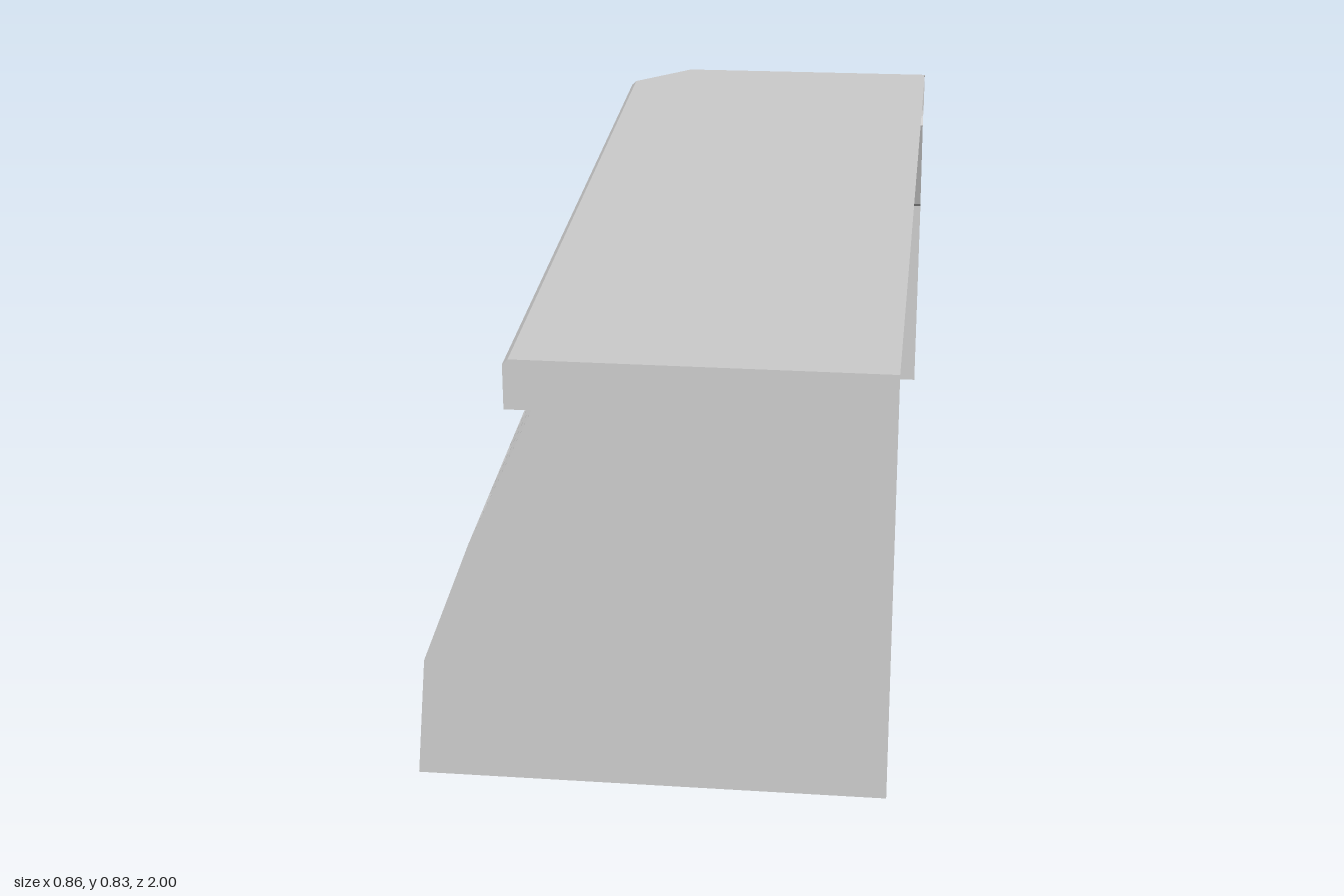
import * as THREE from 'three';

const V = (x, y, z) => new THREE.Vector3(x, y, z);
const mat = new THREE.MeshStandardMaterial({ color: 0xcccccc, side: THREE.DoubleSide });

// Flat-shaded sheet from quads, each [bottomLeft, bottomRight, topRight, topLeft] seen from outside
function sheet(name, quads) {
  const pts = quads.flatMap(([a, b, c, d]) => [a, b, c, a, c, d]);
  const geo = new THREE.BufferGeometry().setFromPoints(pts);
  geo.computeVertexNormals();
  const mesh = new THREE.Mesh(geo, mat);
  mesh.name = name;
  return mesh;
}

// Recessed pane with bevelled reveals; openLeft leaves the left edge without a bevel
function recessedWindow(name, [a, b, c, d], openLeft = false, bevel = 0.018, depth = 0.014) {
  const normal = b.clone().sub(a).cross(d.clone().sub(a)).normalize();
  const u = bevel / a.distanceTo(b), v = bevel / a.distanceTo(d);
  const inner = (s, t) => a.clone().lerp(b, s).lerp(d.clone().lerp(c, s), t).addScaledVector(normal, -depth);
  const s0 = openLeft ? 0 : u;
  const [e, f, g, h] = [inner(s0, v), inner(1 - u, v), inner(1 - u, 1 - v), inner(s0, 1 - v)];
  const quads = [[e, f, g, h], [a, b, f, e], [f, b, c, g], [h, g, c, d]];
  if (!openLeft) quads.push([a, e, h, d]);
  return sheet(name, quads);
}

export function createModel() {
  const group = new THREE.Group();
  const add = (...meshes) => group.add(...meshes);

  // Vertical edges of the shell: base, lower fold, window sill, window top
  const Y = [0, 0.235, 0.472, 0.735];
  const edge = (xz) => xz.map(([x, z], i) => V(x, Y[i], z));
  const backEnd = edge([[0.43, -1], [0.43, -1], [0.43, -1], [0.43, -0.9]]);
  const cornerBack = edge([[-0.312, -1], [-0.29, -1], [-0.24, -1], [-0.125, -0.9]]);
  const cornerSide = edge([[-0.43, -0.895], [-0.402, -0.893], [-0.345, -0.877], [-0.223, -0.78]]);
  const front = edge([[-0.43, 1], [-0.41, 1], [-0.32, 1], [-0.2, 1]]);

  // Lower walls, under the sill
  const lower = (l, r) => [0, 1].map((i) => [l[i], r[i], r[i + 1], l[i + 1]]);
  add(sheet('backWall', lower(backEnd, cornerBack)));
  add(sheet('cornerWall', lower(cornerBack, cornerSide)));
  add(sheet('sideWall', lower(cornerSide, front)));

  // Back and corner window bands, with narrow posts beside the windows
  const part = (l, r, s, t) => [
    l[2].clone().lerp(r[2], s), l[2].clone().lerp(r[2], t),
    l[3].clone().lerp(r[3], t), l[3].clone().lerp(r[3], s)];
  add(recessedWindow('backWindow', part(backEnd, cornerBack, 0, 0.99), true));
  add(recessedWindow('cornerWindow', part(cornerBack, cornerSide, 0.05, 0.95)));
  add(sheet('cornerPosts', [
    part(backEnd, cornerBack, 0.99, 1),
    part(cornerBack, cornerSide, 0, 0.05),
    part(cornerBack, cornerSide, 0.95, 1)]));

  // Side window band: windows given by their z limits, pillars fill the gaps
  const at = (row, z) => {
    const s = (z - cornerSide[row].z) / (1 - cornerSide[row].z);
    return cornerSide[row].clone().lerp(front[row], Math.max(s, z <= -1 ? 0 : 0.006));
  };
  const band = (z0, z1) => [at(2, z0), at(2, z1), at(3, z1), at(3, z0)];
  const windows = [[-0.95, 0.125], [0.36, 0.562], [0.573, 0.78], [0.79, 0.995]];
  const pillars = [];
  let last = -1;
  for (const [z0, z1] of windows) {
    add(recessedWindow('sideWindow', band(z0, z1)));
    pillars.push(band(last, z0));
    last = z1;
  }
  pillars.push(band(last, 1));
  add(sheet('sidePillars', pillars));

  // Roof: soffit, rim, small bevel and top
  const rim = [[0.43, -0.947], [-0.145, -0.937], [-0.27, -0.81], [-0.248, 1]];
  const inset = [[0.43, -0.937], [-0.141, -0.927], [-0.26, -0.806], [-0.238, 1]];
  const ring = (xz, y) => xz.map(([x, z]) => V(x, y, z));
  const rings = [
    [backEnd, cornerBack, cornerSide, front].map((e) => e[3]),
    ring(rim, 0.735), ring(rim, 0.818), ring(inset, 0.828)];
  const strip = (lo, hi) => [0, 1, 2].map((i) => [lo[i], lo[i + 1], hi[i + 1], hi[i]]);
  add(sheet('soffit', strip(rings[0], rings[1])));
  add(sheet('roofRim', strip(rings[1], rings[2])));
  add(sheet('roofBevel', strip(rings[2], rings[3])));
  const [r0, r1, r2, r3] = rings[3];
  const r4 = V(0.43, 0.828, 1), rightOfCorner = V(0.43, 0.828, r2.z);
  add(sheet('roofTop', [[r0, r1, r2, rightOfCorner], [rightOfCorner, r2, r3, r4]]));

  // Flat front wall closing the section
  const outline = [[0.43, 0], [0.43, 0.828], [-0.238, 0.828], [-0.248, 0.818], [-0.248, 0.735],
    ...[...front].reverse().map((p) => [p.x, p.y])];
  const wall = new THREE.Mesh(
    new THREE.ShapeGeometry(new THREE.Shape(outline.map(([x, y]) => new THREE.Vector2(x, y)))), mat);
  wall.position.z = 1;
  wall.name = 'frontWall';
  add(wall);

  return group;
}
